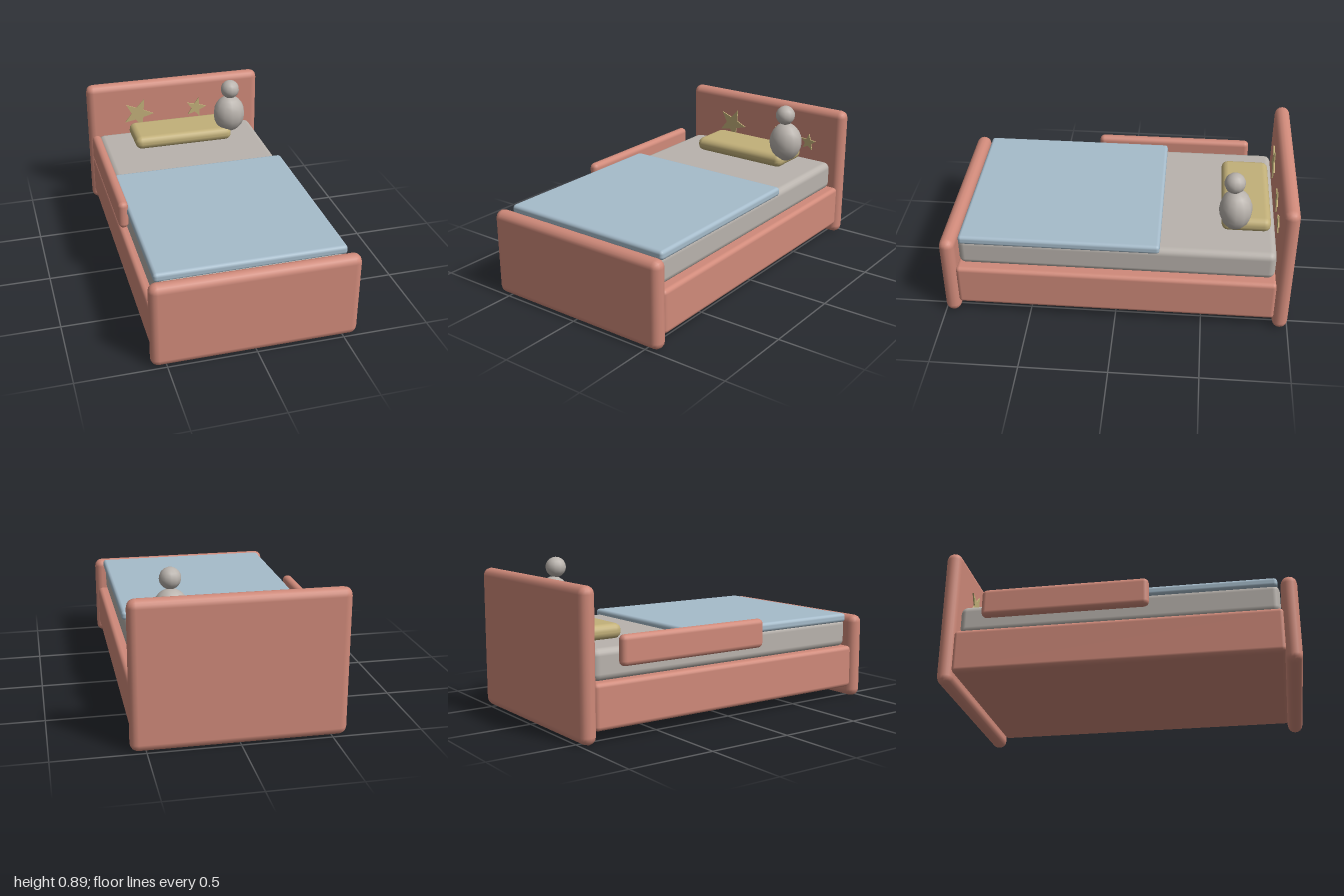
import * as THREE from 'three';
import { RoundedBoxGeometry } from 'three/addons/geometries/RoundedBoxGeometry.js';

const material = (name, color) => {
  const m = new THREE.MeshStandardMaterial({ color });
  m.name = name;
  return m;
};

export function createModel() {
  const bed = new THREE.Group();
  bed.name = 'bed';
  const salmon = material('salmon paint', 0xd08a7a);
  const grey = material('warm grey fabric', 0xb9b3ad);
  const blue = material('blue blanket', 0xa6bccb);
  const tan = material('tan fabric', 0xc2b079);

  const add = (name, geometry, mat, x, y, z) => {
    const mesh = new THREE.Mesh(geometry, mat);
    mesh.name = name;
    mesh.position.set(x, y, z);
    bed.add(mesh);
    return mesh;
  };

  // Soft-edged box given by its limits on each axis
  const slab = (name, mat, [x0, x1], [y0, y1], [z0, z1], radius) =>
    add(name, new RoundedBoxGeometry(x1 - x0, y1 - y0, z1 - z0, 2, radius), mat,
      (x0 + x1) / 2, (y0 + y1) / 2, (z0 + z1) / 2);

  // Bedstead
  slab('headboard', salmon, [-0.585, 0.585], [0, 0.825], [-1, -0.91], 0.045);
  slab('footboard', salmon, [-0.585, 0.585], [0, 0.51], [0.91, 1], 0.045);
  slab('frame', salmon, [-0.57, 0.57], [0.065, 0.32], [-0.92, 0.92], 0.025);
  slab('guardRail', salmon, [-0.59, -0.53], [0.39, 0.558], [-0.765, 0.19], 0.029);

  // Bedding
  slab('mattress', grey, [-0.53, 0.52], [0.315, 0.49], [-0.905, 0.905], 0.04);
  slab('blanket', blue, [-0.54, 0.535], [0.468, 0.522], [-0.25, 0.895], 0.02);
  slab('pillow', tan, [-0.325, 0.318], [0.487, 0.573], [-0.875, -0.592], 0.04);

  // Soft toy on the pillow
  add('toyBody', new THREE.SphereGeometry(1, 12, 10), grey, 0.315, 0.653, -0.665)
    .scale.set(0.104, 0.123, 0.094);
  add('toyHead', new THREE.SphereGeometry(0.06, 12, 10), grey, 0.315, 0.829, -0.65);

  // Stars on the headboard: x, y, radius, angle of the first point in degrees
  const stars = [
    [-0.25, 0.61, 0.105, 67],
    [0.15, 0.61, 0.072, 75],
    [0.345, 0.59, 0.056, 85],
  ];
  for (const [x, y, radius, degrees] of stars) {
    const shape = new THREE.Shape();
    for (let i = 0; i < 10; i++) {
      const r = i % 2 ? radius * 0.42 : radius;
      const a = THREE.MathUtils.degToRad(degrees + i * 36);
      shape[i ? 'lineTo' : 'moveTo'](r * Math.cos(a), r * Math.sin(a));
    }
    shape.closePath();
    const geometry = new THREE.ExtrudeGeometry(shape, { depth: 0.009, bevelEnabled: false });
    add('star', geometry, tan, x, y, -0.911);
  }

  return bed;
}
